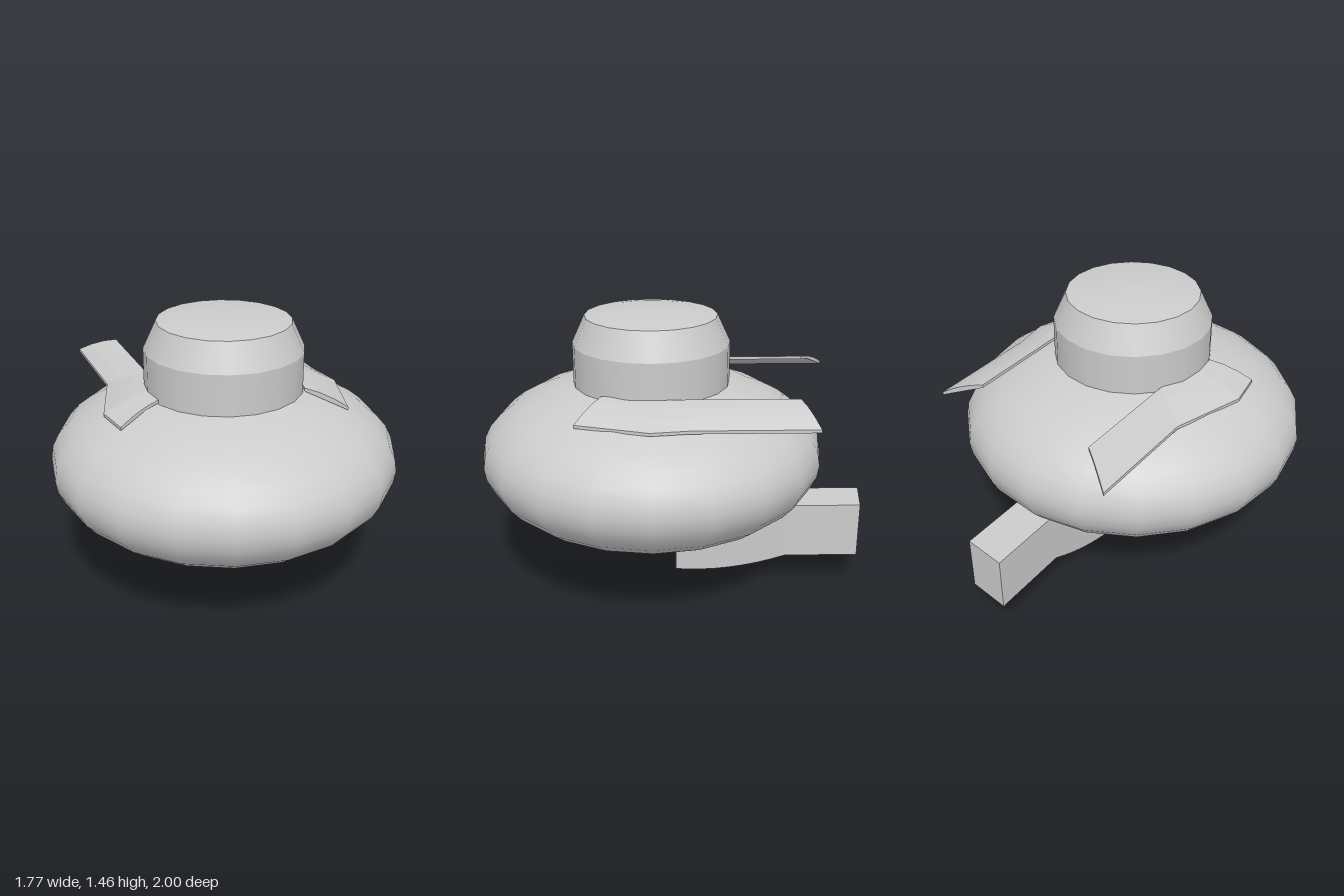
import * as THREE from 'three';

const grey = new THREE.MeshStandardMaterial({ color: 0xcccccc });
const greyFlat = new THREE.MeshStandardMaterial({ color: 0xcccccc, flatShading: true });
const SIDES = 20;
const AXIS_Z = 0.11;

// Revolved part around the vertical axis of the hull; profile runs bottom to top
function lathe(name, profile) {
  const points = profile.map(([r, y]) => new THREE.Vector2(r, y));
  const mesh = new THREE.Mesh(new THREE.LatheGeometry(points, SIDES), grey);
  mesh.name = name;
  mesh.position.z = AXIS_Z;
  return mesh;
}

// Closed solid through rings ordered front to back, each counter-clockwise seen from the front
function loft(name, rings) {
  const pos = [];
  const tri = (...corners) => corners.forEach((p) => pos.push(...p));
  const n = rings[0].length;
  const last = rings[rings.length - 1];
  for (let k = 0; k < rings.length - 1; k++) {
    for (let i = 0; i < n; i++) {
      const j = (i + 1) % n;
      const [a, b, c, d] = [rings[k][i], rings[k][j], rings[k + 1][j], rings[k + 1][i]];
      tri(a, d, b);
      tri(b, d, c);
    }
  }
  for (let i = 1; i < n - 1; i++) {
    tri(rings[0][0], rings[0][i], rings[0][i + 1]);
    tri(last[0], last[i + 1], last[i]);
  }
  const geometry = new THREE.BufferGeometry();
  geometry.setAttribute('position', new THREE.Float32BufferAttribute(pos, 3));
  geometry.computeVertexNormals();
  const mesh = new THREE.Mesh(geometry, greyFlat);
  mesh.name = name;
  return mesh;
}

// Thin drooping fin; each station is [innerX, innerZ, outerX, outerZ]
function fin(name, side, stations) {
  const innerY = 1.11, outerY = 1.03, bulge = 0.012, thick = 0.016;
  const rings = stations.map(([xi, zi, xo, zo]) => {
    const at = (t, drop) => [
      side * THREE.MathUtils.lerp(xi, xo, t),
      THREE.MathUtils.lerp(innerY, outerY, t) + bulge * 4 * t * (1 - t) - drop,
      THREE.MathUtils.lerp(zi, zo, t),
    ];
    const steps = [0, 0.33, 0.67, 1];
    const ring = [
      ...steps.map((t) => at(t, thick)),
      ...steps.slice().reverse().map((t) => at(t, 0)),
    ];
    return side > 0 ? ring : ring.reverse();
  });
  return loft(name, rings);
}

export function createModel() {
  const model = new THREE.Group();
  model.name = 'vessel';

  // Flattened round hull
  const hull = [];
  for (let i = 0; i <= 20; i++) {
    const a = -Math.PI / 2 + (Math.PI * i) / 20;
    hull.push([Math.max(0, 0.885 * Math.cos(a)), 0.71 + 0.42 * Math.sin(a)]);
  }
  model.add(lathe('hull', hull));

  // Turret: straight wall, tapered shoulder, shallow cap
  const turret = new THREE.Group();
  turret.name = 'turret';
  turret.add(
    lathe('turretWall', [[0.4, 1.05], [0.4, 1.29]]),
    lathe('turretShoulder', [[0.4, 1.29], [0.335, 1.43]]),
    lathe('turretCap', [[0.335, 1.43], [0.25, 1.444], [0.13, 1.456], [0, 1.46]]),
  );
  model.add(turret);

  // Uneven side fins hugging the turret
  model.add(
    fin('leftFin', 1, [
      [0.33, 0.35, 0.51, 0.475],
      [0.4, 0.11, 0.623, 0.12],
      [0.39, -0.06, 0.597, -0.07],
      [0.39, -0.6, 0.597, -0.67],
    ]),
    fin('rightFin', -1, [
      [0.385, 0.23, 0.595, 0.3],
      [0.4, 0.11, 0.625, 0.11],
      [0.325, -0.13, 0.505, -0.26],
      [0.325, -0.71, 0.505, -0.85],
    ]),
  );

  // Keel that widens and rises toward the back, then runs straight as a tail boom
  const keelRings = [];
  for (let i = 0; i <= 8; i++) {
    const t = i / 8;
    const y = 0.175 * (0.3 * t + 0.7 * t * t);
    const z = -0.015 - 0.57 * t;
    const w = 0.04 + 0.18 * t;
    keelRings.push([[0, y, z], [w, y, z], [w, 0.465, z], [0, 0.465, z]]);
  }
  keelRings.push([[0, 0.175, -1], [0.22, 0.175, -0.968], [0.22, 0.465, -0.968], [0, 0.465, -1]]);
  model.add(loft('keel', keelRings));

  return model;
}
